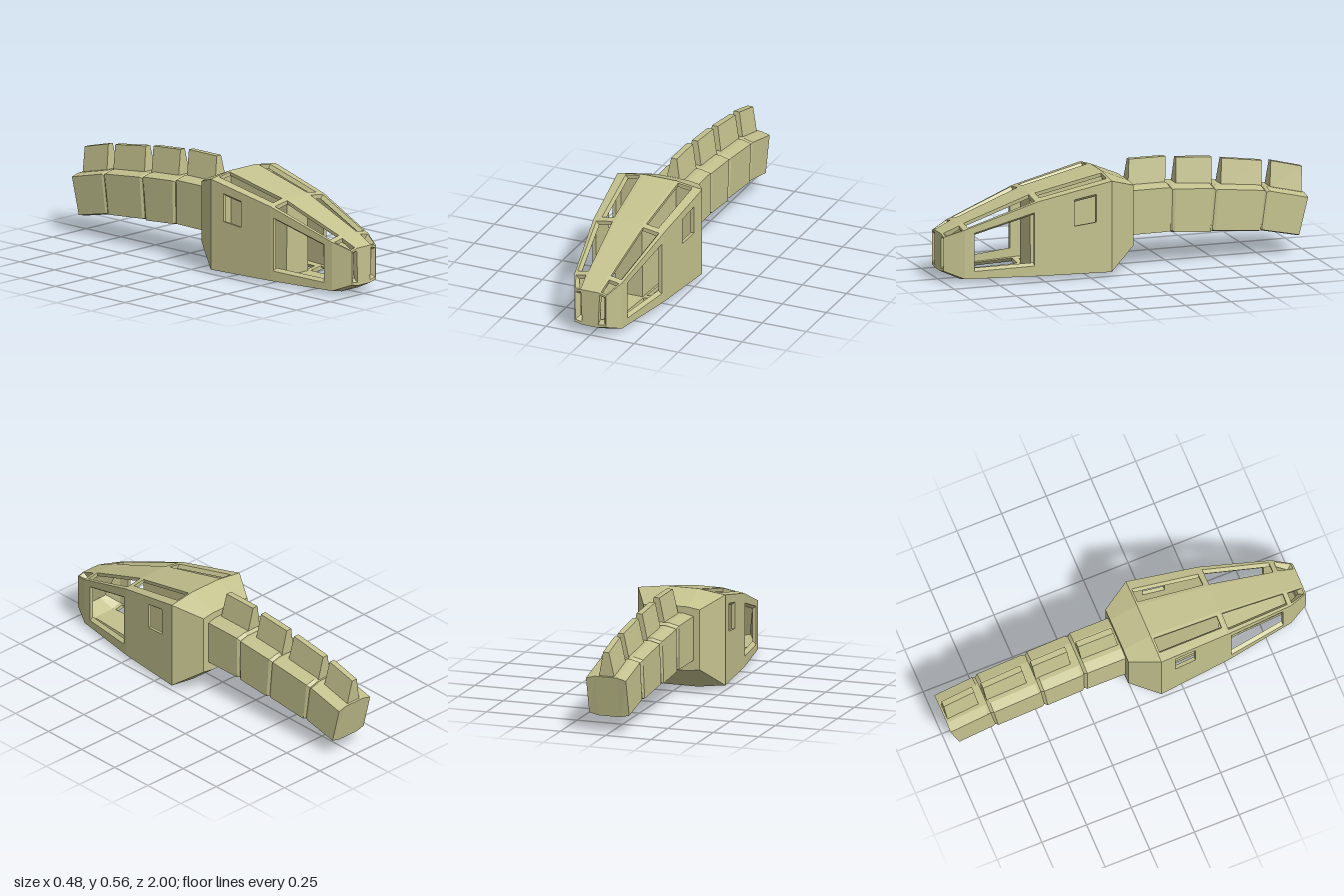
import * as THREE from 'three';

const material = new THREE.MeshStandardMaterial({ color: 0xc4c28e, flatShading: true, side: THREE.DoubleSide });

// Collects quads (corners counter-clockwise seen from outside) into one mesh
function quadMesh(name, fill) {
  const pos = [];
  fill((a, b, c, d) => [a, b, c, a, c, d].forEach(p => pos.push(p.x, p.y, p.z)));
  const geo = new THREE.BufferGeometry();
  geo.setAttribute('position', new THREE.Float32BufferAttribute(pos, 3));
  geo.computeVertexNormals();
  const mesh = new THREE.Mesh(geo, material);
  mesh.name = name;
  return mesh;
}

const V = (x, y, z) => new THREE.Vector3(x, y, z);

// Eight-point section: floor edge, lower side, upper side, roof edge, then mirrored
function ring(half) {
  const right = half.map(p => V(...p));
  return [...right, ...right.slice().reverse().map(p => V(-p.x, p.y, p.z))];
}

// Point inside a four-cornered panel
function inPanel(c, u, v) {
  const a = c[0].clone().lerp(c[1], v);
  return a.lerp(c[3].clone().lerp(c[2], v), u);
}

// Thick panel, with an optional window [u0, u1, v0, v1]
function panel(quad, outer, inner, hole) {
  if (!hole) {
    quad(...outer);
    if (inner) quad(inner[3], inner[2], inner[1], inner[0]);
    return;
  }
  const [u0, u1, v0, v1] = hole;
  const cut = c => [[u0, v0], [u0, v1], [u1, v1], [u1, v0]].map(([u, v]) => inPanel(c, u, v));
  const h = cut(outer), g = cut(inner);
  for (let k = 0; k < 4; k++) {
    const n = (k + 1) % 4;
    quad(outer[k], outer[n], h[n], h[k]);
    quad(h[k], h[n], g[n], g[k]);
    quad(g[k], g[n], inner[n], inner[k]);
  }
}

const flip = h => h && [1 - h[1], 1 - h[0], h[2], h[3]];

// Head sections from nose to back: z, floor edge, lower side, upper side, roof edge
const sections = [
  [1.0, [0.04, 0.05], [0.09, 0.06], [0.09, 0.24], [0.05, 0.25]],
  [0.9, [0.06, 0.005], [0.135, 0.02], [0.135, 0.28], [0.055, 0.295]],
  [0.52, [0.08, 0.005], [0.2, 0.02], [0.2, 0.415], [0.075, 0.435]],
  [0.13, [0.09, 0], [0.24, 0.02], [0.24, 0.502], [0.09, 0.523]],
  [-0.02, [0.09, 0.12], [0.155, 0.13], [0.155, 0.45], [0.09, 0.46]],
];

// Windows by section gap and side (0 floor, 1 wall, 2 roof)
const windows = {
  '0,2': [0.12, 0.85, 0.1, 0.92],
  '1,2': [0.16, 0.9, 0.05, 0.97],
  '2,2': [0.33, 0.87, 0.05, 0.97],
  '1,0': [0.1, 0.84, 0.05, 0.97],
  '2,0': [0.13, 0.67, 0.05, 0.97],
  '1,1': [0.14, 0.87, 0.13, 0.95],
  '2,1': [0.58, 0.9, 0.49, 0.79],
};

function buildHead() {
  const outer = sections.map(([z, ...pts]) => ring(pts.map(([x, y]) => [x, y, z])));
  const inner = sections.slice(0, 4).map(([z, ...pts], k) => ring(pts.map(([x, y], i) =>
    [i === 1 || i === 2 ? x - 0.02 : x, y + (i < 2 ? 0.02 : -0.02), k === 0 ? 0.97 : z])));
  const pick = (r, ids) => ids.map(i => r[i]);

  const shell = quadMesh('headShell', quad => {
    for (let k = 0; k < 4; k++) {
      for (let i = 0; i < 8; i++) {
        const j = (i + 1) % 8;
        const cell = rings => [rings[k][i], rings[k + 1][i], rings[k + 1][j], rings[k][j]];
        const hole = i < 3 ? windows[[k, i]] : flip(windows[[k, 6 - i]]);
        panel(quad, cell(outer), k < 3 ? cell(inner) : null, hole);
      }
    }
    // Nose face with two upright slots
    const slot = [0.08, 0.94, 0.1, 0.88];
    panel(quad, pick(outer[0], [0, 1, 2, 3]), pick(inner[0], [0, 1, 2, 3]), slot);
    panel(quad, pick(outer[0], [4, 5, 6, 7]), pick(inner[0], [4, 5, 6, 7]), flip(slot));
    panel(quad, pick(outer[0], [7, 0, 3, 4]), pick(inner[0], [7, 0, 3, 4]));
    // Back of the head and the inner rear wall
    for (const ids of [[0, 1, 2, 3], [4, 5, 6, 7], [7, 0, 3, 4]]) {
      quad(...pick(outer[4], ids).reverse());
      quad(...pick(inner[3], ids));
    }
  });

  // Solid core between the rear roof and floor windows
  const core = quadMesh('headCore', quad => {
    const [f, b] = [inner[2], inner[3]];
    quad(f[0], b[0], b[3], f[3]);
    quad(f[4], b[4], b[7], f[7]);
    quad(f[7], f[0], f[3], f[4]);
  });

  // Sloping wall behind the nose slots
  const noseWall = quadMesh('noseWall', quad =>
    quad(V(-0.068, 0.075, 0.965), V(0.068, 0.075, 0.965), V(0.11, 0.265, 0.895), V(-0.11, 0.265, 0.895)));

  const head = new THREE.Group();
  head.name = 'head';
  head.add(shell, core, noseWall);
  return head;
}

// Each vertebra: front [zTop, zBottom, top, bottom], back likewise, half width
const vertebrae = [
  [[-0.02, -0.02, 0.425, 0.165], [-0.235, -0.235, 0.425, 0.167], 0.12],
  [[-0.265, -0.26, 0.415, 0.162], [-0.475, -0.455, 0.4, 0.147], 0.118],
  [[-0.505, -0.485, 0.393, 0.15], [-0.755, -0.73, 0.367, 0.13], 0.115],
  [[-0.785, -0.755, 0.36, 0.13], [-0.996, -0.947, 0.31, 0.09], 0.11],
];

// Each spine: z and y of front base, back base, back top, front top
const spines = [
  [[-0.03, 0.415], [-0.235, 0.415], [-0.245, 0.555], [-0.045, 0.555]],
  [[-0.295, 0.4], [-0.49, 0.385], [-0.5, 0.53], [-0.305, 0.545]],
  [[-0.54, 0.38], [-0.765, 0.355], [-0.775, 0.49], [-0.555, 0.52]],
  [[-0.81, 0.345], [-0.985, 0.31], [-0.995, 0.442], [-0.825, 0.485]],
];

function vertebraRing([zt, zb, top, bottom], w) {
  return ring([[w * 0.55, bottom, zb], [w, bottom + 0.012, zb], [w, top - 0.013, zt], [w * 0.55, top, zt]]);
}

function buildTail() {
  const tail = new THREE.Group();
  tail.name = 'tail';
  vertebrae.forEach(([front, back, w], n) => {
    const rings = [vertebraRing(front, w), vertebraRing(back, w)];
    // Narrow joint leading to the next vertebra
    const next = vertebrae[n + 1];
    if (next) {
      const mid = front.map((_, i) => (back[i] + next[0][i]) / 2 + [0, 0, -0.009, 0.006][i]);
      rings.push(vertebraRing(mid, w - 0.01), vertebraRing(next[0], next[2]));
    }
    tail.add(quadMesh('vertebra' + (n + 1), quad => {
      for (let k = 0; k + 1 < rings.length; k++) {
        for (let i = 0; i < 8; i++) {
          const j = (i + 1) % 8;
          quad(rings[k][i], rings[k + 1][i], rings[k + 1][j], rings[k][j]);
        }
      }
      if (!next) {
        for (const ids of [[0, 1, 2, 3], [4, 5, 6, 7], [7, 0, 3, 4]]) {
          quad(...ids.map(i => rings[1][i]).reverse());
        }
      }
    }));
  });
  // Tapered back spines
  spines.forEach((s, n) => {
    tail.add(quadMesh('spine' + (n + 1), quad => {
      const side = m => s.map(([z, y], i) => V(m * (i < 2 ? 0.042 : 0.016), y, z));
      const [r, l] = [side(1), side(-1)];
      quad(...r);
      quad(...l.slice().reverse());
      for (let k = 0; k < 4; k++) {
        const j = (k + 1) % 4;
        quad(r[j], r[k], l[k], l[j]);
      }
    }));
  });
  return tail;
}

export function createModel() {
  const model = new THREE.Group();
  model.name = 'model';
  model.add(buildHead(), buildTail());
  return model;
}
